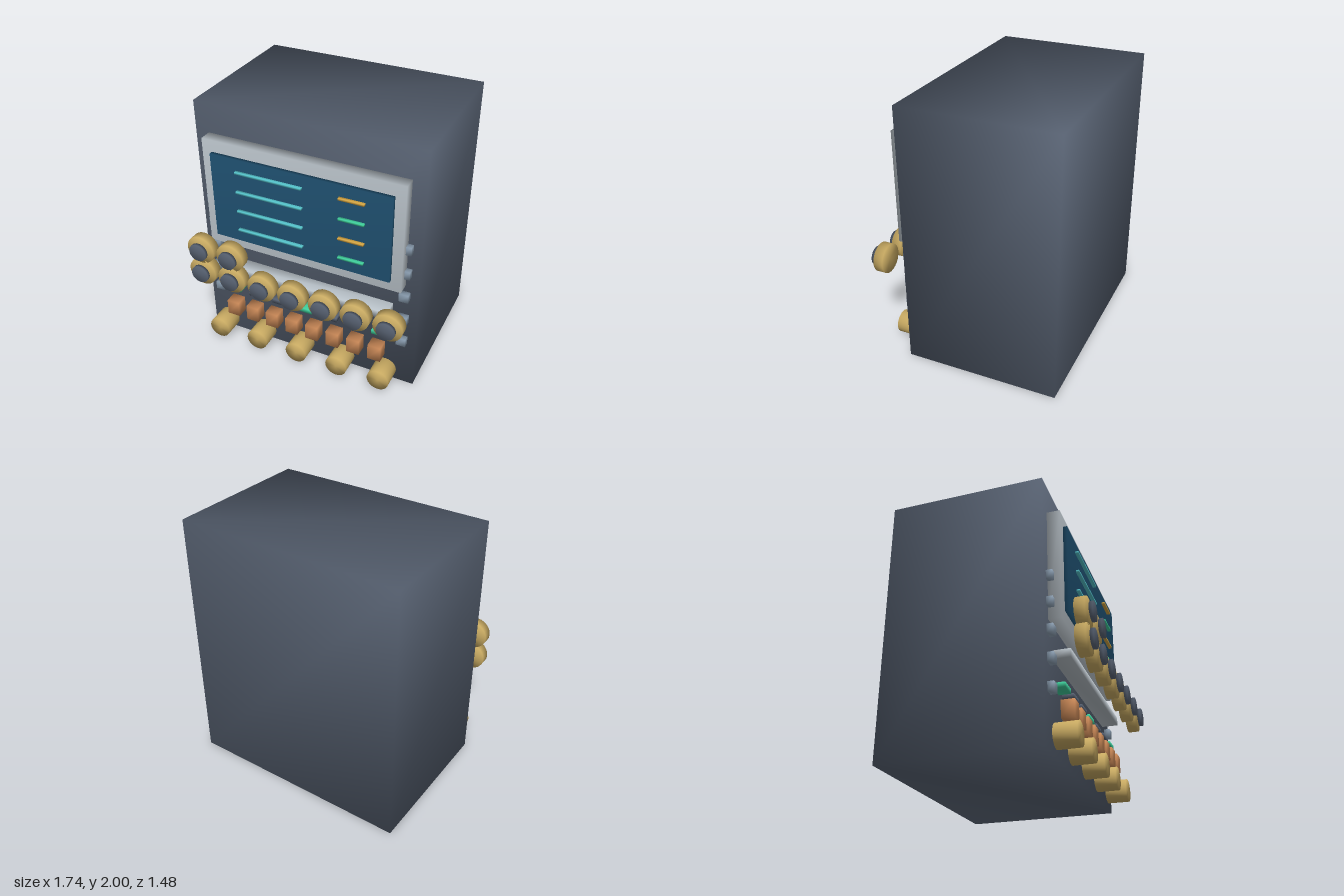
import * as THREE from 'three';
import { mergeVertices } from 'three/addons/utils/BufferGeometryUtils.js';

const mat = (name, color) => {
  const m = new THREE.MeshStandardMaterial({ color });
  m.name = name;
  return m;
};

// Share corner vertices so that shading runs smoothly round every edge
function soften(geometry) {
  geometry.deleteAttribute('normal');
  geometry.deleteAttribute('uv');
  const g = mergeVertices(geometry, 1e-4);
  g.computeVertexNormals();
  return g;
}

export function createModel() {
  const slate = mat('slate', 0x566070);
  const silver = mat('silver', 0xb9c2c9);
  const screenBlue = mat('screenBlue', 0x1f5070);
  const cyan = mat('cyan', 0x55c4cc);
  const green = mat('green', 0x3fcf9c);
  const amber = mat('amber', 0xd6a643);
  const brass = mat('brass', 0xc8aa62);
  const copper = mat('copper', 0xcc8a58);
  const steel = mat('steel', 0x8a9db0);

  const model = new THREE.Group();
  model.name = 'controlCabinet';

  const add = (name, geometry, material, x, y, z) => {
    const mesh = new THREE.Mesh(soften(geometry), material);
    mesh.name = name;
    mesh.position.set(x, y, z);
    model.add(mesh);
  };
  // Box given by centre x, y, size w, h and its z range
  const box = (name, material, x, y, w, h, z0, z1) =>
    add(name, new THREE.BoxGeometry(w, h, z1 - z0), material, x, y, (z0 + z1) / 2);
  // Disc facing the front
  const disc = (name, material, x, y, r, z0, z1) =>
    add(name, new THREE.CylinderGeometry(r, r, z1 - z0, 24).rotateX(Math.PI / 2),
      material, x, y, (z0 + z1) / 2);

  // Cabinet and display
  box('cabinet', slate, 0, 1, 1.74, 2, -0.74, 0.425);
  box('bezel', silver, 0, 1.343, 1.53, 0.855, 0.425, 0.52);
  box('screen', screenBlue, 0, 1.341, 1.376, 0.678, 0.515, 0.55);

  // Readout lines on the screen
  for (let i = 0; i < 4; i++) {
    const y = 1.586 - i * 0.159;
    box('readoutLine', cyan, -0.225, y, 0.515, 0.016, 0.55, 0.575);
    box('statusLine', i % 2 ? green : amber, 0.402, y, 0.19, 0.016, 0.55, 0.575);
  }

  // Fasteners down both edges
  for (const side of [-1, 1])
    for (let i = 0; i < 5; i++)
      box('fastener', steel, side * 0.769, 1.24 - i * 0.205, 0.072, 0.066, 0.425, 0.47);

  // Rail and knobs with dark caps
  box('knobRail', silver, 0, 0.693, 1.36, 0.064, 0.425, 0.55);
  const knob = (x, y) => {
    disc('knob', brass, x, y, 0.112, 0.624, 0.698);
    disc('knobCap', slate, x, y, 0.071, 0.715, 0.74);
  };
  for (let i = 0; i < 7; i++) knob(-0.75 + i * 0.249, 0.73);
  for (let i = 0; i < 2; i++) knob(-0.75 + i * 0.249, 0.927);

  // Indicator keys, every third one lit
  for (let i = 0; i < 7; i++)
    box('indicator', i % 3 ? slate : green, -0.617 + i * 0.2057, 0.473, 0.13, 0.036, 0.425, 0.508);

  // Copper push buttons
  for (let i = 0; i < 8; i++)
    box('pushButton', copper, -0.6 + i * 0.1711, 0.317, 0.102, 0.127, 0.465, 0.56);

  // Lower brass buttons
  for (let i = 0; i < 5; i++)
    disc('brassButton', brass, -0.713 + i * 0.342, 0.113, 0.086, 0.45, 0.61);

  return model;
}
